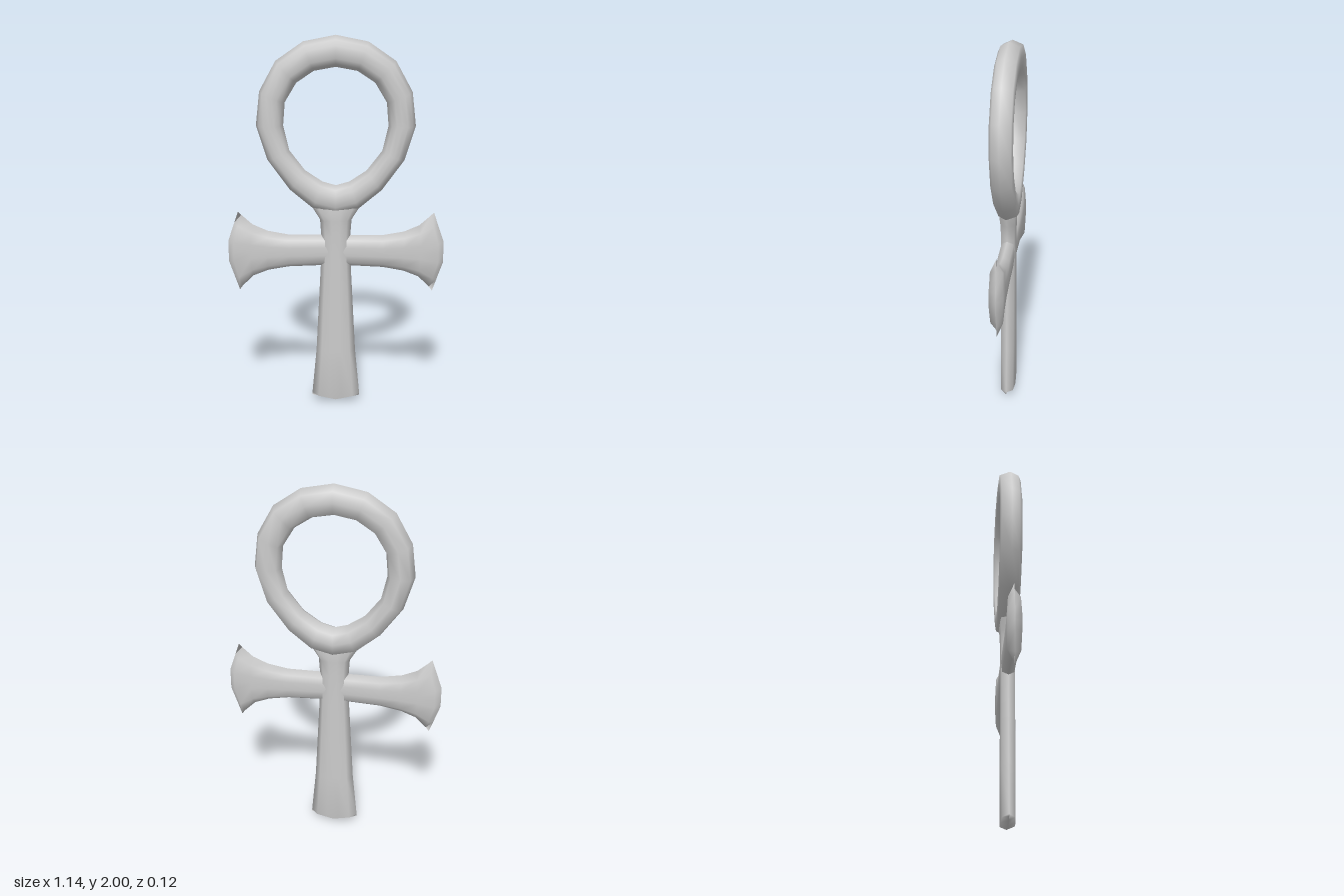
import * as THREE from 'three';

const material = new THREE.MeshStandardMaterial({ color: 0xcccccc, side: THREE.DoubleSide });

// Skins a list of stations (each a ring of points) into one smooth surface.
function loft(name, stations, closed) {
  const n = stations[0].length, index = [];
  const rows = closed ? stations.length : stations.length - 1;
  for (let i = 0; i < rows; i++) {
    const k = (i + 1) % stations.length;
    for (let j = 0; j < n; j++) {
      const a = i * n + j, b = i * n + (j + 1) % n;
      const c = k * n + j, d = k * n + (j + 1) % n;
      index.push(a, b, c, b, d, c);
    }
  }
  const geometry = new THREE.BufferGeometry();
  geometry.setAttribute('position', new THREE.Float32BufferAttribute(stations.flat(2), 3));
  geometry.setIndex(index);
  geometry.computeVertexNormals();
  const mesh = new THREE.Mesh(geometry, material);
  mesh.name = name;
  return mesh;
}

// Places a profile of [u, z] between edge points a and b.
const section = (a, b, profile, zScale = 1, bulge = () => [0, 0]) => profile.map(([u, z]) => {
  const [dx, dy] = bulge(u);
  return [a[0] + (b[0] - a[0]) * u + dx, a[1] + (b[1] - a[1]) * u + dy, z * zScale];
});

// Flat, bevelled and slightly crowned bar profile
const barFront = [[0, 0], [0.14, 0.88], [0.37, 0.97], [0.5, 1], [0.63, 0.97], [0.86, 0.88], [1, 0]];
const barProfile = [...barFront, ...barFront.slice(1, -1).reverse().map(([u, z]) => [u, -z])];

// Loop: rounded front, flatter back
const loopProfile = [[0, 0], [0.12, 0.04], [0.3, 0.053], [0.5, 0.057], [0.7, 0.053], [0.88, 0.04], [1, 0],
  [0.86, -0.055], [0.5, -0.06], [0.14, -0.055]];

function makeLoop() {
  // Outer and inner outline, top to bottom on the +x side
  const half = [
    [[0, 2], [0, 1.84]],
    [[0.165, 1.967], [0.11, 1.82]],
    [[0.305, 1.87], [0.2, 1.76]],
    [[0.39, 1.715], [0.26, 1.66]],
    [[0.41, 1.54], [0.27, 1.54]],
    [[0.355, 1.36], [0.24, 1.41]],
    [[0.24, 1.2], [0.16, 1.305]],
    [[0.12, 1.1], [0.07, 1.245]],
    [[0, 1.07], [0, 1.225]],
  ];
  const flip = ([x, y]) => [-x, y];
  const full = [...half, ...half.slice(1, -1).reverse().map(p => p.map(flip))];
  return loft('loop', full.map(([a, b]) => section(a, b, loopProfile)), true);
}

function makeStem() {
  // y at the edges, half width, half thickness, downward point at the centre
  const rows = [
    [0.03, 0.13, 0, 0.03],
    [0.042, 0.129, 0.037, 0.025],
    [0.3, 0.105, 0.039, 0],
    [0.55, 0.092, 0.039, 0],
    [0.78, 0.08, 0.039, 0],
    [0.955, 0.077, 0.039, 0],
    [1.04, 0.083, 0.042, 0],
    [1.1, 0.12, 0.045, 0],
    [1.16, 0.12, 0.035, 0],
  ];
  return loft('stem', rows.map(([y, w, t, drop]) =>
    section([-w, y], [w, y], barProfile, t, u => [0, -drop * (1 - Math.abs(2 * u - 1))])));
}

function makeCrossbar() {
  // x, top y, bottom y, half thickness, outward bulge of the flared end
  const half = [
    [0.08, 0.955, 0.785, 0.036, 0],
    [0.25, 0.955, 0.777, 0.036, 0],
    [0.36, 0.975, 0.757, 0.036, 0],
    [0.44, 1.01, 0.725, 0.036, 0.01],
    [0.498, 1.062, 0.668, 0.036, 0.042],
    [0.515, 1.08, 0.645, 0, 0.055],
  ];
  const mirrored = half.map(([x, t, b, z, k]) => [-x, t, b, z, -k]).reverse();
  return loft('crossbar', [...mirrored, ...half].map(([x, t, b, z, k]) =>
    section([x, t], [x, b], barProfile, z, u => [k * Math.min(1, (1 - Math.abs(2 * u - 1)) / 0.74), 0])));
}

export function createModel() {
  const group = new THREE.Group();
  group.name = 'loopedCross';
  group.add(makeLoop(), makeStem(), makeCrossbar());
  return group;
}
